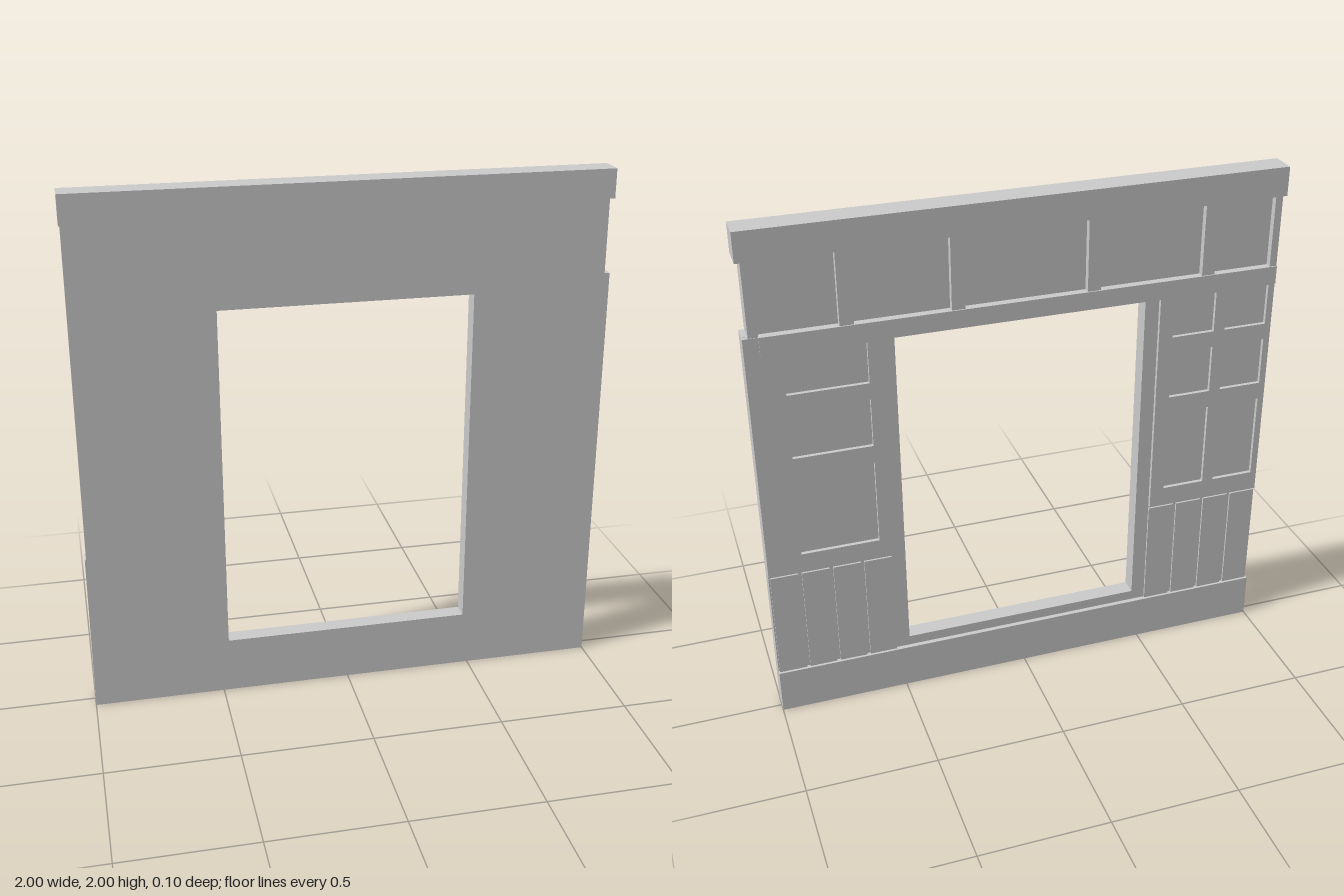
import * as THREE from 'three';

const material = new THREE.MeshStandardMaterial({ color: 0xcccccc, flatShading: true });

// Corner list of a rectangle
const rect = (x0, x1, y0, y1) => [[x0, y0], [x1, y0], [x1, y1], [x0, y1]];
const toPoints = (list) => list.map(([x, y]) => new THREE.Vector2(x, y));

// Flat slab with optional holes, running from zBack to zFront
function slab(name, outline, zBack, zFront, holes = []) {
  const shape = new THREE.Shape(toPoints(outline));
  holes.forEach((h) => shape.holes.push(new THREE.Path(toPoints(h))));
  const geometry = new THREE.ExtrudeGeometry(shape, { depth: zFront - zBack, bevelEnabled: false });
  geometry.translate(0, 0, zBack);
  const mesh = new THREE.Mesh(geometry, material);
  mesh.name = name;
  return mesh;
}

export function createModel() {
  const model = new THREE.Group();
  model.name = 'wallWithOpening';
  const opening = rect(-0.475, 0.475, 0.22, 1.56);

  // Plain front wall, notched at the frieze on one end
  model.add(slab('wallCore', [
    [-1, 0], [1, 0], [1, 1.61], [0.98, 1.61], [0.98, 1.89],
    [-0.995, 1.89], [-0.995, 0.63], [-1, 0.63],
  ], -0.005, 0.05, [opening]));

  // Lining behind it: floor of the recessed panels and trim around the opening
  model.add(slab('openingLining', rect(-0.995, 1, 0, 1.61), -0.015, -0.005, [opening]));

  // Top beam, base board and rail over the opening
  model.add(slab('topBeam', rect(-1, 1, 1.89, 2), -0.05, 0.05));
  model.add(slab('baseBoard', rect(-1, 1, 0, 0.18), -0.033, -0.015));
  model.add(slab('rail', rect(-0.995, 0.945, 1.54, 1.61), -0.035, -0.015));

  // Frieze stiles
  const stiles = [[0.945, 0.98], [0.617, 0.667], [0.218, 0.268], [-0.29, -0.24], [-0.74, -0.69], [-0.995, -0.967]];
  stiles.forEach(([x0, x1]) => model.add(slab('friezeStile', rect(x0, x1, 1.61, 1.89), -0.03, -0.005)));

  // Side walls with sunk panels: one column on the left, two on the right
  const rows = [[0.71, 1.05], [1.12, 1.31], [1.375, 1.535]];
  const panels = (columns) => columns.flatMap(([x0, x1]) => rows.map(([y0, y1]) => rect(x0, x1, y0, y1)));
  model.add(slab('leftPanelling', rect(0.53, 1, 0.63, 1.609), -0.03, -0.015, panels([[0.575, 0.87]])));
  model.add(slab('rightPanelling', rect(-0.995, -0.53, 0.63, 1.609), -0.03, -0.015,
    panels([[-0.755, -0.585], [-0.97, -0.8]])));

  // Upright planks under the panelling
  const pitch = 0.1195;
  for (const side of [-1, 1]) {
    for (let i = 0; i < 4; i++) {
      const a = side * (0.53 + i * pitch);
      const b = side * (0.53 + i * pitch + pitch - 0.013);
      model.add(slab('plank', rect(Math.min(a, b), Math.max(a, b), 0.18, 0.62), -0.023, -0.015));
    }
  }
  return model;
}
